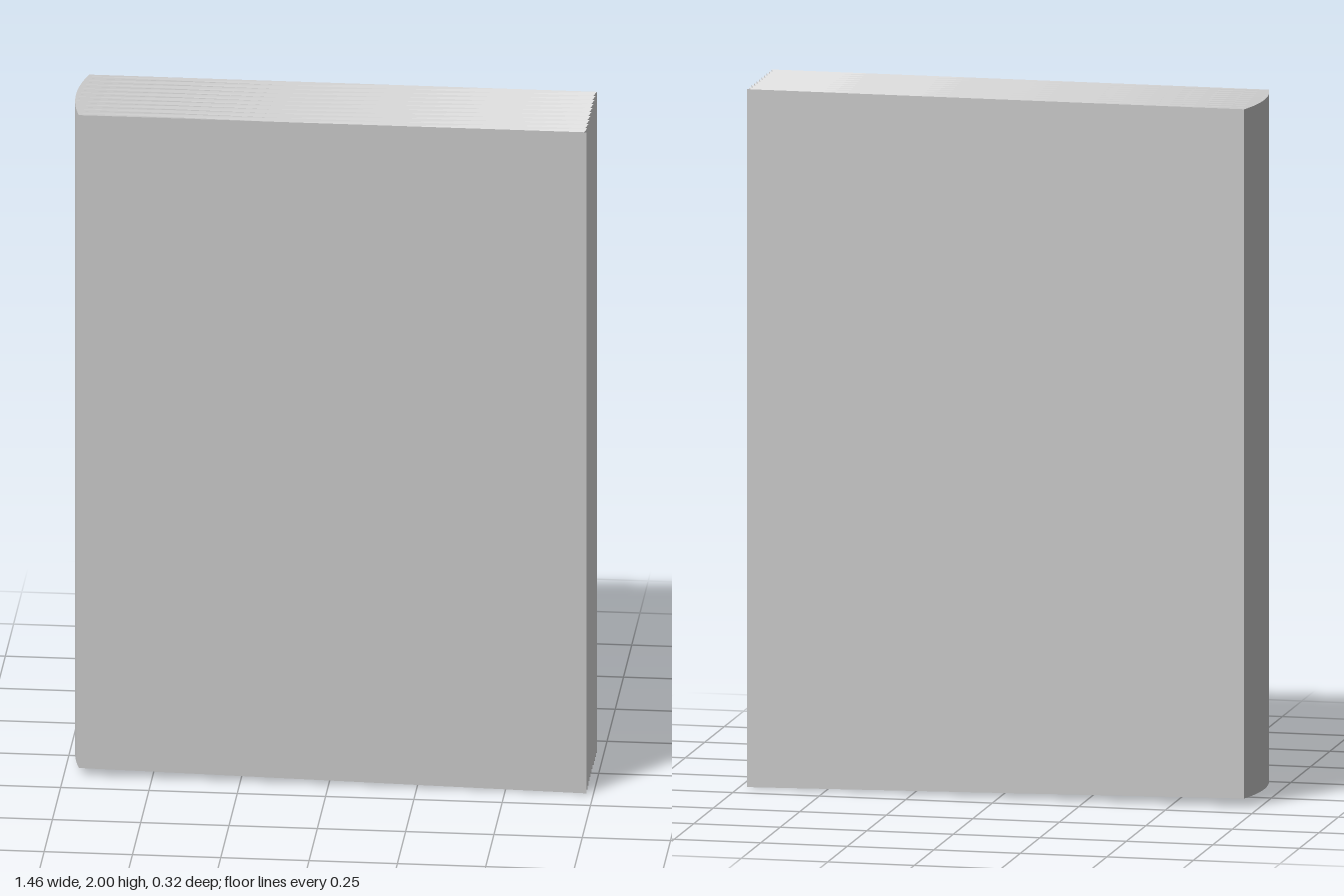
import * as THREE from 'three';

const HALF_X = 0.73, HALF_Z = 0.158, HEIGHT = 2;
const SPINE_BULGE = 0.023, GROOVE = 0.016, SPINE_LIFT = 0.025;
const PAGES = 10, CELLS = PAGES * 2, STEPS = 5;

// t runs 0..1 across the thickness, from back (-z) to front (+z)
const zAt = t => (t * 2 - 1) * HALF_Z;
// 0 on a page edge, 1 in the groove between two page edges
const grooveAt = t => Math.round(t * CELLS) % 2;

// s runs 0..1 from the rounded spine to the fore edge; k is 0 at the bottom, 1 at the top
function point(s, t, k) {
  const spineX = -HALF_X + SPINE_BULGE * (t * 2 - 1) ** 2;
  const foreX = HALF_X - GROOVE * grooveAt(t);
  const top = HEIGHT - s * GROOVE * grooveAt(t);
  const bottom = SPINE_LIFT * (1 - s) + s * GROOVE * grooveAt(t);
  return [
    THREE.MathUtils.lerp(spineX, foreX, s),
    THREE.MathUtils.lerp(bottom, top, k),
    zAt(t),
  ];
}

// Surface over a grid of points, facing along du x dv
function sheet(name, nu, nv, at, flatShading = true) {
  const positions = [], index = [];
  for (let i = 0; i <= nu; i++) {
    for (let j = 0; j <= nv; j++) {
      positions.push(...at(i / nu, j / nv));
      if (i < nu && j < nv) {
        const a = i * (nv + 1) + j, b = a + nv + 1;
        index.push(a, b, b + 1, a, b + 1, a + 1);
      }
    }
  }
  const geometry = new THREE.BufferGeometry();
  geometry.setAttribute('position', new THREE.Float32BufferAttribute(positions, 3));
  geometry.setIndex(index);
  geometry.computeVertexNormals();
  const material = new THREE.MeshStandardMaterial({ color: 0xcccccc, flatShading });
  const mesh = new THREE.Mesh(geometry, material);
  mesh.name = name;
  return mesh;
}

export function createModel() {
  const book = new THREE.Group();
  book.name = 'book';

  // Flat covers and rounded spine
  book.add(
    sheet('frontCover', STEPS, 1, (u, v) => point(u, 1, v)),
    sheet('backCover', STEPS, 1, (u, v) => point(u, 0, 1 - v)),
    sheet('spine', 1, CELLS, (u, v) => point(0, 1 - v, u), false),
  );

  // Page edges: grooves grow deeper from the spine towards the fore edge
  const pages = new THREE.Group();
  pages.name = 'pages';
  pages.add(
    sheet('topPageEdges', STEPS, CELLS, (u, v) => point(u, 1 - v, 1)),
    sheet('bottomPageEdges', STEPS, CELLS, (u, v) => point(u, v, 0)),
    sheet('forePageEdges', 1, CELLS, (u, v) => point(1, v, u)),
  );
  book.add(pages);

  return book;
}
